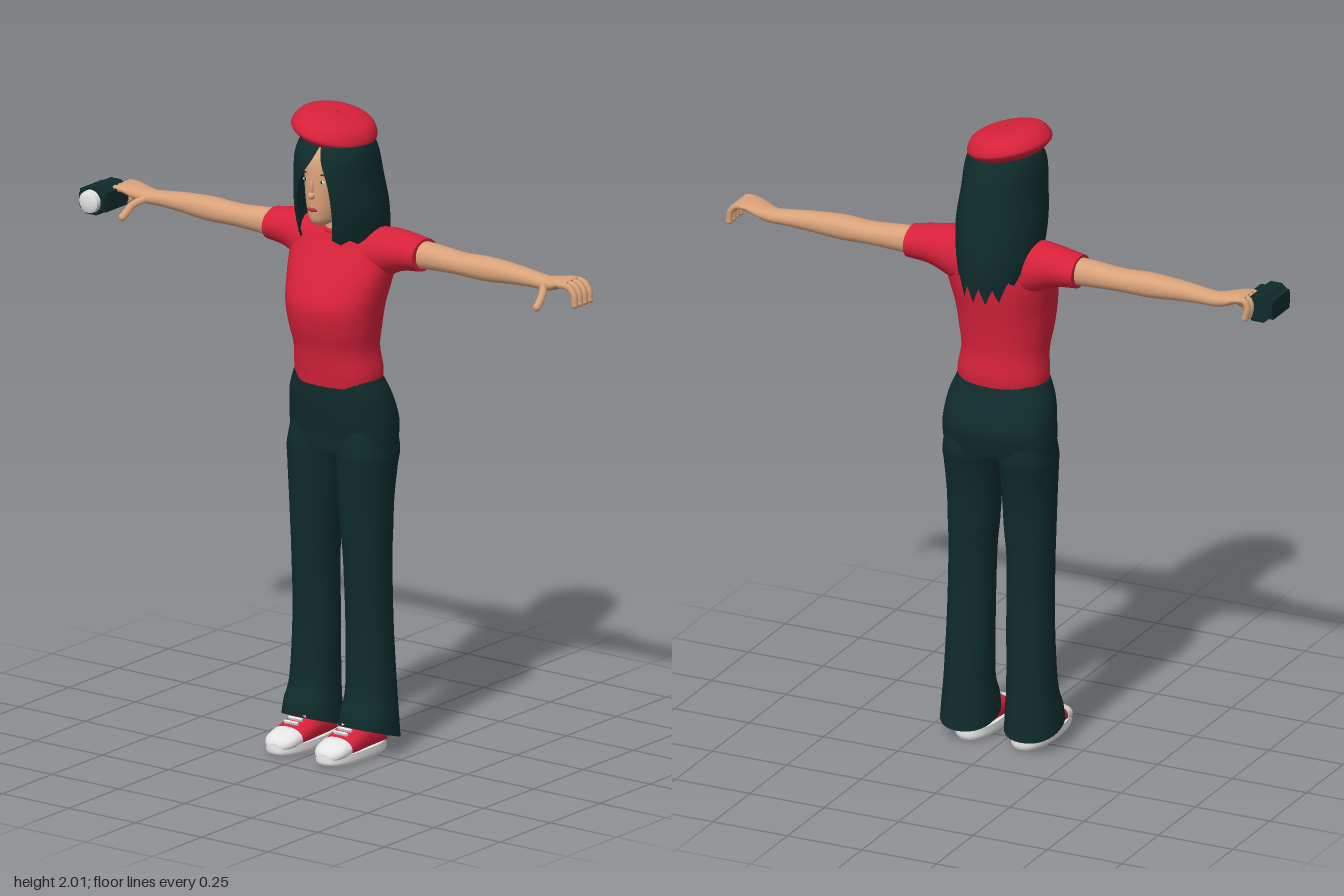
import * as THREE from 'three';

const CX = 0.015; // body centre line
const mat = (name, color, side = THREE.FrontSide) => {
  const m = new THREE.MeshStandardMaterial({ color, side });
  m.name = name;
  return m;
};

// Smooth the key rows of numbers into n steps per gap
function smooth(keys, n = 5) {
  const rows = [], at = (i) => keys[Math.min(Math.max(i, 0), keys.length - 1)];
  for (let i = 0; i < keys.length - 1; i++)
    for (let j = 0; j < n; j++) {
      const t = j / n;
      rows.push(at(i).map((p1, c) => {
        const p0 = at(i - 1)[c], p2 = at(i + 1)[c], p3 = at(i + 2)[c];
        return p1 + 0.5 * t * (p2 - p0 + t * (2 * p0 - 5 * p1 + 4 * p2 - p3 + t * (3 * (p1 - p2) + p3 - p0)));
      }));
    }
  rows.push(at(keys.length - 1));
  return rows;
}

// Row at a given first value, with linear blending
function rowAt(rows, v) {
  const up = rows[0][0] < rows[rows.length - 1][0];
  let i = 0;
  while (i < rows.length - 2 && (up ? rows[i + 1][0] < v : rows[i + 1][0] > v)) i++;
  const t = Math.min(Math.max((v - rows[i][0]) / (rows[i + 1][0] - rows[i][0]), 0), 1);
  return rows[i].map((p, c) => p + (rows[i + 1][c] - p) * t);
}

// Closed skin over oval sections [position, aMin, aMax, bMin, bMax] along an axis
function loft(keys, axis = 'y', power = 2, seg = 32, bend = null) {
  const pos = [], idx = [], rows = smooth(keys);
  const put = (t, a, b) => {
    const p = axis === 'y' ? [a, t, b] : axis === 'x' ? [t, a, b] : [a, b, t];
    pos.push(...(bend ? bend(p) : p));
  };
  const oval = (c) => Math.sign(c) * Math.abs(c) ** (2 / power);
  const ring = ([t, a0, a1, b0, b1]) => {
    for (let s = 0; s < seg; s++) {
      const w = (s / seg) * Math.PI * 2;
      put(t, (a0 + a1) / 2 + ((a1 - a0) / 2) * oval(Math.cos(w)), (b0 + b1) / 2 + ((b1 - b0) / 2) * oval(Math.sin(w)));
    }
  };
  rows.forEach(ring);
  for (let r = 0; r < rows.length - 1; r++)
    for (let s = 0; s < seg; s++) {
      const a = r * seg + s, b = r * seg + ((s + 1) % seg);
      idx.push(a, b, a + seg, b, b + seg, a + seg);
    }
  [rows[0], rows[rows.length - 1]].forEach((row, end) => { // end caps
    const base = pos.length / 3;
    ring(row);
    put(row[0], (row[1] + row[2]) / 2, (row[3] + row[4]) / 2);
    for (let s = 0; s < seg; s++) {
      const a = base + s, b = base + ((s + 1) % seg);
      idx.push(base + seg, end ? a : b, end ? b : a);
    }
  });
  // Turn the faces outwards
  let vol = 0;
  const P = (i) => new THREE.Vector3().fromArray(pos, i * 3);
  for (let i = 0; i < idx.length; i += 3) vol += P(idx[i]).dot(P(idx[i + 1]).cross(P(idx[i + 2])));
  if (vol < 0) idx.reverse();
  const g = new THREE.BufferGeometry();
  g.setAttribute('position', new THREE.Float32BufferAttribute(pos, 3));
  g.setIndex(idx);
  g.computeVertexNormals();
  return g;
}

export function createModel() {
  const root = new THREE.Group();
  const red = mat('red cloth', 0xd6213a), dark = mat('dark green', 0x0f2b2b, THREE.DoubleSide);
  const skin = mat('skin', 0xd9a27a), white = mat('white', 0xe4e4e4), lip = mat('lip red', 0xb5303c);
  const add = (name, geo, material, x = 0, y = 0, z = 0) => {
    const m = new THREE.Mesh(geo, material);
    m.name = name;
    m.position.set(x, y, z);
    root.add(m);
    return m;
  };
  const ball = (name, m, x, y, z, rx, ry, rz) => add(name, new THREE.SphereGeometry(1, 16, 12), m, x, y, z).scale.set(rx, ry, rz);

  // Shirt
  add('shirt', loft([
    [1.16, -0.122, 0.155, -0.1, 0.1], [1.2, -0.125, 0.16, -0.105, 0.105], [1.27, -0.12, 0.15, -0.1, 0.115],
    [1.34, -0.13, 0.16, -0.105, 0.135], [1.41, -0.14, 0.17, -0.115, 0.143], [1.47, -0.152, 0.182, -0.125, 0.12],
    [1.53, -0.163, 0.193, -0.13, 0.088], [1.58, -0.163, 0.193, -0.125, 0.06], [1.62, -0.14, 0.17, -0.115, 0.04],
    [1.64, -0.09, 0.12, -0.1, 0.03], [1.648, -0.045, 0.07, -0.085, 0.02]], 'y', 2.3, 40), red);
  const collar = add('collar', new THREE.TorusGeometry(0.052, 0.011, 8, 28), red, 0.012, 1.64, -0.022);
  collar.rotation.x = Math.PI / 2 + 0.2;

  // Trousers
  add('trouserSeat', loft([
    [1.18, -0.13, 0.16, -0.098, 0.097], [1.12, -0.153, 0.183, -0.125, 0.097], [1.05, -0.163, 0.193, -0.149, 0.09],
    [1.0, -0.165, 0.195, -0.146, 0.083], [0.955, -0.163, 0.193, -0.134, 0.08]], 'y', 2.3, 40), dark);

  for (const s of [1, -1]) {
    const side = s > 0 ? 'left' : 'right';
    const X = (d) => CX + s * d;
    const across = (keys) => keys.map(([t, a, b, ...r]) => [t, X(a), X(b), ...r]);
    const along = (keys) => keys.map(([d, ...r]) => [X(d), ...r]);

    // Flared leg with a hem that drops at the back
    add(side + 'TrouserLeg', loft(across([
      [1.03, 0, 0.165, -0.125, 0.07], [0.95, 0.004, 0.179, -0.132, 0.08], [0.9, 0.008, 0.178, -0.12, 0.077],
      [0.8, 0.012, 0.174, -0.102, 0.07], [0.7, 0.017, 0.172, -0.095, 0.062], [0.6, 0.025, 0.17, -0.09, 0.055],
      [0.4, 0.026, 0.173, -0.09, 0.042], [0.2, 0.028, 0.182, -0.1, 0.05], [0.12, 0.021, 0.192, -0.104, 0.073],
      [0.065, 0.018, 0.197, -0.107, 0.08]]), 'y', 2.2, 32,
    ([x, y, z]) => [x, y + Math.min(Math.max((0.2 - y) / 0.13, 0), 1) * (z + 0.015) * 0.32, z]), dark);

    // Shoe
    add(side + 'Sole', loft(across([[0, 0.036, 0.15, -0.08, 0.195], [0.012, 0.03, 0.157, -0.084, 0.205],
      [0.035, 0.031, 0.156, -0.082, 0.203]]), 'y', 2.5), white);
    add(side + 'ShoeUpper', loft(across([[-0.075, 0.06, 0.13, 0.02, 0.08], [-0.05, 0.045, 0.145, 0.015, 0.1],
      [0.03, 0.038, 0.148, 0.015, 0.103], [0.09, 0.036, 0.15, 0.015, 0.088], [0.155, 0.04, 0.148, 0.015, 0.066]]), 'z', 2.3), red);
    add(side + 'ToeCap', loft(across([[0.13, 0.036, 0.151, 0.012, 0.077], [0.165, 0.04, 0.147, 0.012, 0.066],
      [0.19, 0.055, 0.132, 0.014, 0.052], [0.2, 0.075, 0.112, 0.02, 0.04]]), 'z', 2.2), white);
    for (let i = 0; i < 3; i++)
      add(side + 'Lace', new THREE.BoxGeometry(0.05, 0.008, 0.009), white, X(0.093), 0.099 - i * 0.007, 0.07 + i * 0.021).rotation.x = 0.35;

    // Sleeve, arm and palm
    add(side + 'Sleeve', loft(along([[0.09, 1.46, 1.642, -0.115, 0.05], [0.15, 1.495, 1.652, -0.122, 0.035],
      [0.21, 1.525, 1.647, -0.122, 0.018], [0.283, 1.535, 1.635, -0.12, 0.008]]), 'x'), red);
    add(side + 'Arm', loft(along([[0.2, 1.54, 1.625, -0.1, -0.01], [0.3, 1.545, 1.627, -0.1, -0.012],
      [0.42, 1.55, 1.618, -0.098, -0.015], [0.52, 1.548, 1.622, -0.097, -0.015], [0.62, 1.556, 1.616, -0.094, -0.022],
      [0.7, 1.56, 1.607, -0.09, -0.027], [0.745, 1.56, 1.603, -0.09, -0.026], [0.785, 1.57, 1.61, -0.097, -0.01],
      [0.82, 1.586, 1.616, -0.098, 0], [0.845, 1.59, 1.612, -0.094, -0.002]]), 'x', 2.2, 24), skin);

    // Curled fingers and thumb
    const digit = (name, pts, r) => {
      const v = pts.map(([d, y, z]) => new THREE.Vector3(X(d), y, z));
      add(name, new THREE.TubeGeometry(new THREE.CatmullRomCurve3(v), 12, r, 8), skin);
      const tip = v[v.length - 1];
      ball(name + 'Tip', skin, tip.x, tip.y, tip.z, r, r, r);
    };
    const grip = s > 0 ? 0 : 0.022;
    for (let i = 0; i < 4; i++) {
      const z = -0.084 + i * 0.025;
      digit(side + 'Finger', [[0.825, 1.601, z], [0.86 - grip / 2, 1.6, z], [0.88 - grip, 1.578, z], [0.884 - grip * 1.5, 1.548, z]], 0.0105);
    }
    digit(side + 'Thumb', [[0.75, 1.58, -0.03], [0.772, 1.565, 0.005], [0.778, 1.545, 0.03], [0.78, 1.535, 0.044]], 0.012);
  }

  // Head and neck
  const headKeys = [[1.663, 0, 0.024, 0.06, 0.1], [1.68, -0.028, 0.052, -0.02, 0.12], [1.71, -0.045, 0.069, -0.08, 0.127],
    [1.75, -0.057, 0.081, -0.1, 0.129], [1.81, -0.064, 0.088, -0.11, 0.129], [1.88, -0.06, 0.084, -0.1, 0.118], [1.93, -0.03, 0.054, -0.06, 0.07]];
  add('head', loft(headKeys), skin);
  add('neck', new THREE.CylinderGeometry(0.042, 0.05, 0.14, 24), skin, 0.012, 1.645, -0.012);

  // Facial features set on the skin
  const headRows = smooth(headKeys);
  const faceZ = (x, y) => {
    const [, x0, x1, z0, z1] = rowAt(headRows, y);
    const u = (2 * x - x0 - x1) / (x1 - x0);
    return (z0 + z1) / 2 + ((z1 - z0) / 2) * Math.sqrt(1 - u * u);
  };
  const feature = (name, m, dx, y, rx, ry, rz) => ball(name, m, 0.012 + dx, y, faceZ(0.012 + dx, y), rx, ry, rz);
  for (const s of [1, -1]) {
    feature('eyeWhite', white, s * 0.03, 1.81, 0.012, 0.0045, 0.003);
    feature('iris', dark, s * 0.03, 1.81, 0.005, 0.005, 0.004);
    feature('eyebrow', dark, s * 0.031, 1.832, 0.015, 0.002, 0.004);
  }
  feature('nose', skin, 0, 1.765, 0.011, 0.012, 0.015);
  feature('noseBridge', skin, 0, 1.788, 0.006, 0.025, 0.007);
  feature('lips', lip, 0, 1.72, 0.019, 0.006, 0.005);

  // Hair: a sheet round the head, parted at the front, with ragged ends
  const hairRows = smooth([ // y, xMin, xMax, zMin, zMax, half opening, parting shift
    [1.955, -0.06, 0.07, -0.07, 0.07, 0, 0.2], [1.93, -0.095, 0.108, -0.11, 0.1, 0, 0.2], [1.88, -0.112, 0.13, -0.137, 0.135, 0.12, 0.18],
    [1.8, -0.115, 0.138, -0.157, 0.145, 0.42, 0.06], [1.7, -0.123, 0.148, -0.178, 0.135, 0.5, 0],
    [1.6, -0.118, 0.138, -0.19, 0.105, 0.42, 0], [1.52, -0.1, 0.12, -0.188, 0.06, 0.4, 0], [1.44, -0.09, 0.11, -0.18, 0.03, 0.4, 0]]);
  const hair = new THREE.PlaneGeometry(1, 1, 112, 30), hp = hair.attributes.position;
  for (let i = 0; i < hp.count; i++) {
    const col = i % 113, u = (col / 112) * 2 - 1, v = 0.5 - hp.getY(i);
    const back = THREE.MathUtils.smoothstep(1 - Math.abs(u), 0.4, 0.85);
    const jag = Math.abs((col % 8) - 4) / 4 * (0.015 + 0.035 * back);
    const y = 1.955 + (1.61 - 0.135 * back + jag - 1.955) * v;
    const [, x0, x1, z0, z1, open, shift] = rowAt(hairRows, y);
    const a = u * (Math.PI - open) - shift * Math.abs(u) ** 3;
    hp.setXYZ(i, (x0 + x1) / 2 + ((x1 - x0) / 2) * Math.sin(a), y, (z0 + z1) / 2 - ((z1 - z0) / 2) * Math.cos(a));
  }
  hair.computeVertexNormals();
  add('hair', hair, dark);

  // Beret
  const beret = add('beret', new THREE.LatheGeometry(new THREE.SplineCurve([[0, -0.034], [0.085, -0.036], [0.122, -0.016],
    [0.129, 0.003], [0.108, 0.034], [0.06, 0.047], [0, 0.05]].map(([x, y]) => new THREE.Vector2(x, y))).getPoints(28)
    .map((p) => p.setX(Math.max(p.x, 0))), 40), red, -0.007, 1.945, -0.01);
  beret.rotation.z = -0.22;
  beret.scale.z = 1.05;
  add('beretStalk', new THREE.CylinderGeometry(0.004, 0.005, 0.01, 8), red, 0.004, 1.994, -0.01);

  // Handheld camera
  const octagon = (w, h, d) => {
    const g = new THREE.CylinderGeometry(0.541, 0.541, 1, 8).rotateY(Math.PI / 8).rotateX(Math.PI / 2).scale(w, h, d).toNonIndexed();
    g.computeVertexNormals();
    return g;
  };
  add('cameraBody', octagon(0.094, 0.084, 0.125), dark, -0.865, 1.573, 0.005);
  add('cameraCase', new THREE.BoxGeometry(0.096, 0.06, 0.11), dark, -0.865, 1.573, 0.005);
  add('cameraLensRing', new THREE.CylinderGeometry(0.034, 0.036, 0.018, 24).rotateX(Math.PI / 2), white, -0.865, 1.573, 0.074);
  ball('cameraLens', white, -0.865, 1.573, 0.08, 0.034, 0.034, 0.01);
  return root;
}
